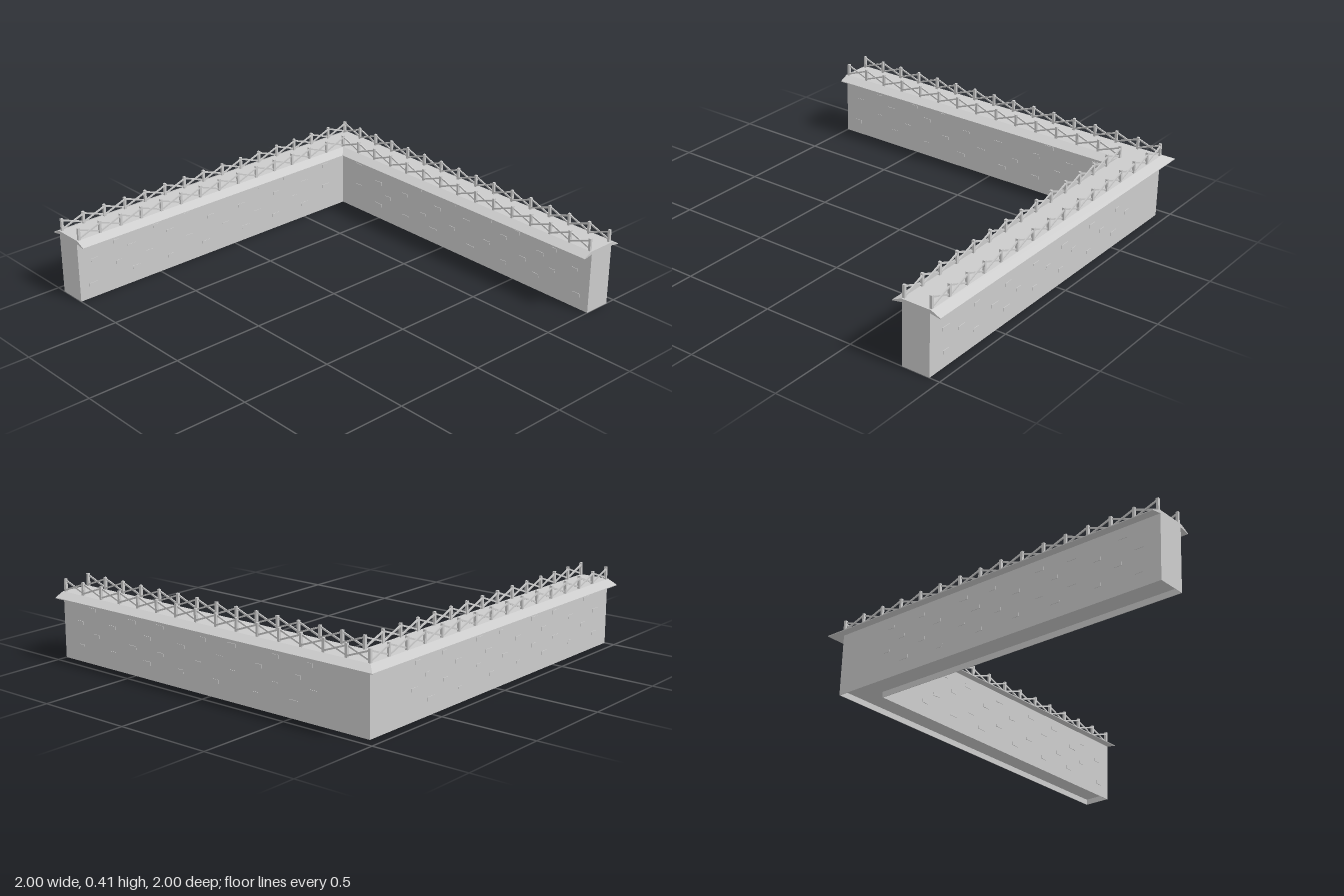
import * as THREE from 'three';

const IN = 0.795, OUT = 0.945;      // distance of the wall faces from the centre lines
const mat = new THREE.MeshStandardMaterial({ color: 0xcccccc, flatShading: true, side: THREE.DoubleSide });

// Sweep a counter-clockwise [distance, height] section round the mitred L path.
function sweepL(section) {
  const pos = [];
  const stations = [
    ([d, y]) => [-1, y, -d],
    ([d, y]) => [d, y, -d],
    ([d, y]) => [d, y, 1],
  ];
  for (let s = 0; s < 2; s++) {
    section.forEach((p, i) => {
      const q = section[(i + 1) % section.length];
      const [a, b, c, d] = [stations[s](p), stations[s](q), stations[s + 1](q), stations[s + 1](p)];
      pos.push(...a, ...b, ...c, ...a, ...c, ...d);
    });
  }
  const tris = THREE.ShapeUtils.triangulateShape(section.map(p => new THREE.Vector2(...p)), []);
  for (const [i, j, k] of tris) {
    for (const n of [k, j, i]) pos.push(...stations[0](section[n]));
    for (const n of [i, j, k]) pos.push(...stations[2](section[n]));
  }
  const geo = new THREE.BufferGeometry();
  geo.setAttribute('position', new THREE.Float32BufferAttribute(pos, 3));
  geo.computeVertexNormals();
  return geo;
}

function add(parent, name, geo, x = 0, y = 0, z = 0) {
  const m = new THREE.Mesh(geo, mat);
  m.name = name;
  m.position.set(x, y, z);
  parent.add(m);
  return m;
}

// Railing along +x from the origin: posts with crossed braces between them.
function railing(length, bays) {
  const g = new THREE.Group();
  g.name = 'railing';
  const step = length / bays, low = 0.35, high = 0.397;
  const post = new THREE.BoxGeometry(0.013, 0.07, 0.013);
  const brace = new THREE.BoxGeometry(Math.hypot(step, high - low), 0.008, 0.006);
  const tilt = Math.atan2(high - low, step);
  for (let i = 0; i <= bays; i++) {
    add(g, 'post', post, i * step, 0.372, 0);
    if (i === bays) break;
    for (const s of [-1, 1]) {
      add(g, 'brace', brace, (i + 0.5) * step, (low + high) / 2, s * 0.003).rotation.z = s * tilt;
    }
  }
  return g;
}

// Small seeded generator for the scattered stones
function seeded(seed) {
  return () => (seed = (seed * 16807) % 2147483647) / 2147483647;
}

export function createModel() {
  const model = new THREE.Group();
  model.name = 'cornerWall';

  // Wall, hollowed slightly on the underside
  add(model, 'wall', sweepL([
    [IN, 0], [IN + 0.003, 0], [IN + 0.003, 0.03], [OUT - 0.003, 0.03],
    [OUT - 0.003, 0], [OUT, 0], [OUT, 0.33], [IN, 0.33],
  ]));
  const mid = (IN + OUT) / 2, wide = OUT - IN;
  add(model, 'endSkirt', new THREE.BoxGeometry(0.003, 0.03, wide), -0.9985, 0.015, -mid);
  add(model, 'endSkirt', new THREE.BoxGeometry(wide, 0.03, 0.003), mid, 0.015, 0.9985);

  // Walkway with sloping eaves on both sides
  add(model, 'walkway', sweepL([
    [0.74, 0.315], [IN, 0.325], [OUT, 0.325], [1, 0.315],
    [1, 0.319], [0.95, 0.342], [0.79, 0.342], [0.74, 0.319],
  ]));

  // Railings on both edges of both legs
  for (const [d, bays] of [[0.942, 15], [0.795, 14]]) {
    const back = railing(d + 0.985, bays);
    back.position.set(-0.985, 0, -d);
    const side = railing(d + 0.985, bays);
    side.rotation.y = Math.PI / 2;
    side.position.set(d, 0, 0.985);
    model.add(back, side);
  }

  // Slightly raised stones in four staggered rows on every long face
  const rand = seeded(71);
  for (const d of [IN, OUT]) {
    for (let row = 0; row < 4; row++) {
      for (let i = 0; i < 7; i++) {
        const along = -0.92 + (i + (row % 2) * 0.5 + rand() * 0.25) * 0.235;
        if (along > d - 0.04) continue;
        const y = 0.07 + row * 0.065 + rand() * 0.015;
        const w = 0.035 + rand() * 0.02;
        add(model, 'stone', new THREE.BoxGeometry(w, 0.018, 0.005), along, y, -d);
        add(model, 'stone', new THREE.BoxGeometry(0.005, 0.018, w), d, y, -along);
      }
    }
  }
  return model;
}
